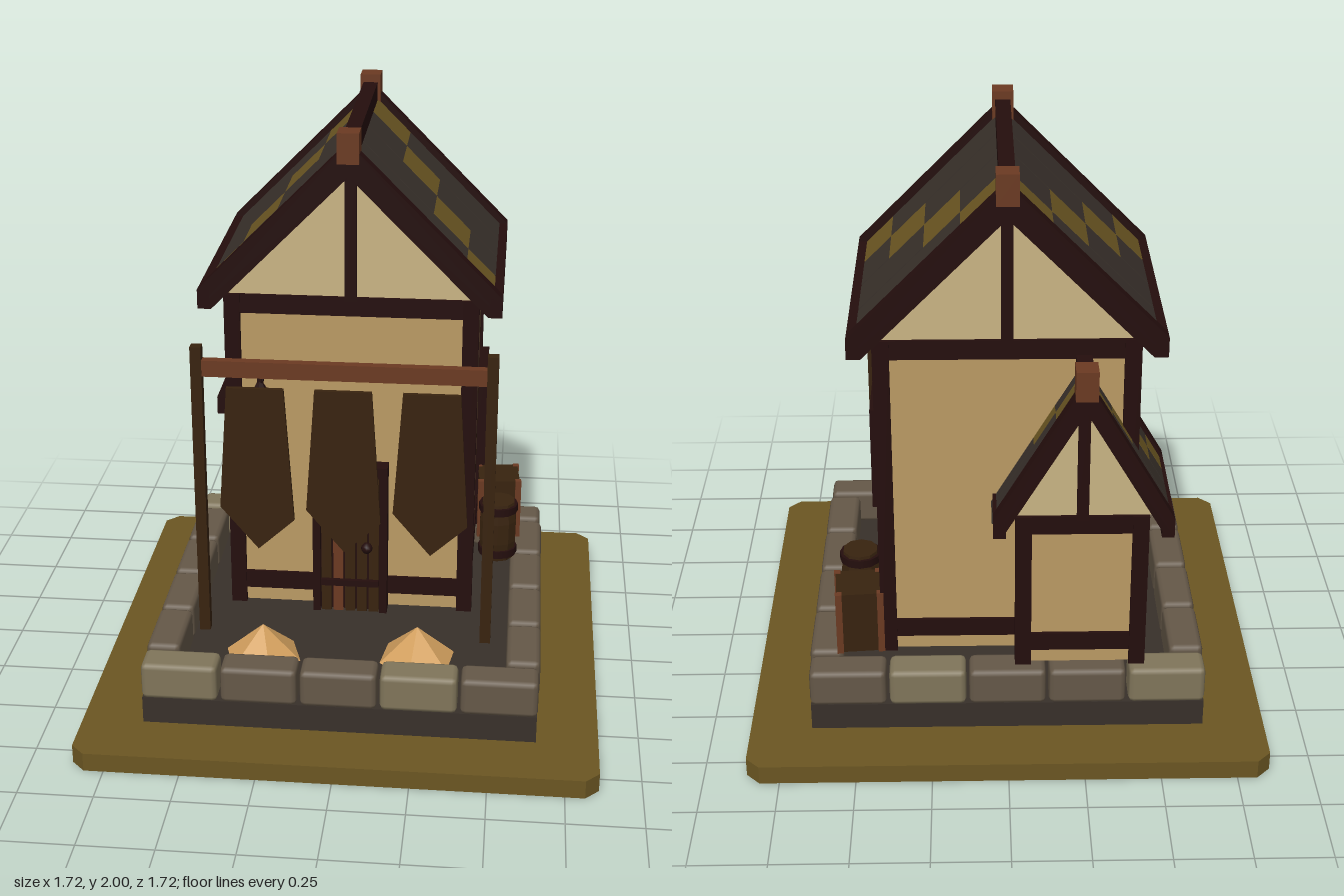
import * as THREE from 'three';
import { RoundedBoxGeometry } from 'three/addons/geometries/RoundedBoxGeometry.js';

const mat = (name, color) => {
  const m = new THREE.MeshStandardMaterial({ color });
  m.name = name;
  return m;
};

export function createModel() {
  const moss = mat('moss', 0x6b5622), slate = mat('slate', 0x38302a);
  const stone = mat('stone', 0x655848), paleStone = mat('pale stone', 0x80755a);
  const plaster = mat('plaster', 0xba9a64), cream = mat('cream plaster', 0xc9b484);
  const timber = mat('dark timber', 0x240e0d), redwood = mat('red wood', 0x6b3a22);
  const bark = mat('brown wood', 0x38230f), glow = mat('amber', 0xd3a05e);

  const model = new THREE.Group();
  const add = (parent, name, geo, material, x = 0, y = 0, z = 0) => {
    const m = new THREE.Mesh(geo, material);
    m.name = name;
    m.position.set(x, y, z);
    parent.add(m);
    return m;
  };
  const box = (parent, name, material, w, h, d, x, y, z) =>
    add(parent, name, new THREE.BoxGeometry(w, h, d), material, x, y, z);
  const group = (name, x = 0, y = 0, z = 0) => {
    const g = new THREE.Group();
    g.name = name;
    g.position.set(x, y, z);
    model.add(g);
    return g;
  };
  // Flat outline in x and y, given depth centred on z = 0
  const slab = (points, depth) => {
    const shape = new THREE.Shape(points.map(p => new THREE.Vector2(...p)));
    return new THREE.ExtrudeGeometry(shape, { depth, bevelEnabled: false }).translate(0, 0, -depth / 2);
  };
  const flat = geo => {
    const g = geo.index ? geo.toNonIndexed() : geo;
    g.computeVertexNormals();
    return g;
  };

  // Ground plate with cut corners, and the foundation
  const a = 0.86, c = 0.815;
  add(model, 'ground', slab([[-c, -a], [c, -a], [a, -c], [a, c], [c, a], [-c, a], [-a, c], [-a, -c]], 0.065)
    .rotateX(-Math.PI / 2), moss, 0, 0.0325, 0);
  box(model, 'foundation', slate, 1.31, 0.095, 1.31, 0, 0.1125, 0);

  // Ring of rim stones
  const rim = group('stoneRim');
  const block = (w, d, x, z, pale) =>
    add(rim, 'rimStone', new RoundedBoxGeometry(w, 0.13, d, 1, 0.018), pale ? paleStone : stone, x, 0.22, z);
  for (const s of [-1, 1]) {
    for (let i = 0; i < 5; i++) block(0.255, 0.115, (i - 2) * 0.265, s * 0.6, i % 3 === 0);
    for (let i = 0; i < 4; i++) block(0.115, 0.255, s * 0.605, (i - 1.5) * 0.265, false);
  }

  // Half-timbered body with gabled roof; used for the house and its annex
  function building(name, cx, cz, o) {
    const g = group(name, cx, 0, cz);
    const { w, d, top, he, ye, yr, rd } = o, base = 0.285, h = top - base;
    box(g, 'walls', plaster, w - 0.03, h - 0.01, d - 0.03, 0, base + h / 2, 0);
    for (const y of [0.3725, top - 0.0325]) box(g, 'beamRing', timber, w - 0.01, 0.065, d - 0.01, 0, y, 0);
    for (const sx of [-1, 1]) {
      for (const sz of [-1, 1])
        box(g, 'cornerPost', timber, 0.053, h, 0.053, sx * (w / 2 - 0.0265), base + h / 2, sz * (d / 2 - 0.0265));
      // Slanted brace across the side wall
      const z0 = 0.32 * d, z1 = 0.07 * d, y0 = 0.4, y1 = top - 0.08;
      const brace = box(g, 'brace', bark, 0.02, Math.hypot(z0 - z1, y1 - y0), 0.028,
        sx * (w / 2 - 0.012), (y0 + y1) / 2, (z0 + z1) / 2);
      brace.rotation.x = -Math.atan2(z0 - z1, y1 - y0);
    }
    // Gable filling
    const k = (yr - ye) / he, apex = yr - 0.09, foot = (apex - top) / k;
    add(g, 'gable', slab([[-foot, top], [foot, top], [0, apex]], d - 0.03), cream);
    // Barge rafters, king posts and ridge caps at both ends
    const low = ye - 0.065, inner = yr - 0.11, xi = (inner - low) / k;
    const chevron = [[0, yr], [-he, ye], [-he, low], [-xi, low], [0, inner], [xi, low], [he, low], [he, ye]];
    for (const s of [-1, 1]) {
      add(g, 'rafters', slab(chevron, 0.045), timber, 0, 0, s * (rd / 2 - 0.0225));
      box(g, 'kingPost', timber, 0.038, inner - top + 0.02, 0.03, 0, (inner + top) / 2, s * (d / 2 - 0.012));
      box(g, 'ridgeCap', redwood, 0.07, 0.1, 0.075, 0, yr - 0.015, s * (rd / 2 - 0.02));
      box(g, 'eaveBeam', timber, 0.04, 0.065, rd, s * (he - 0.02), ye - 0.0325, 0);
    }
    box(g, 'ridgeBeam', timber, 0.05, 0.065, rd - 0.02, 0, yr - 0.025, 0);
    // Roof tiles: one diagonal of mossy tiles on each slope
    const slope = Math.hypot(he, yr - ye), len = slope * 0.94 / 4, dz = (rd - 0.06) / 4;
    for (const s of [-1, 1]) for (let col = 0; col < 4; col++) for (let row = 0; row < 4; row++) {
      const t = 0.03 + (row + 0.5) * 0.235;
      const tile = box(g, 'roofTile', row === col ? moss : slate, len, 0.03, dz - 0.006,
        s * he * (1 - t), ye + (yr - ye) * t - 0.05, (1.5 - col) * dz);
      tile.rotation.z = -s * Math.atan(k);
    }
  }
  building('house', 0, -0.1625, { w: 0.84, d: 0.725, top: 1.43, he: 0.495, ye: 1.465, yr: 1.965, rd: 0.85 });
  building('annex', -0.24, -0.455, { w: 0.43, d: 0.32, top: 0.85, he: 0.287, ye: 0.88, yr: 1.37, rd: 0.46 });

  // Door with plank leaf, straps and knob
  const door = group('door', 0, 0, 0.2);
  for (const s of [-1, 1]) box(door, 'doorJamb', timber, 0.026, 0.555, 0.06, s * 0.115, 0.5625, 0.01);
  box(door, 'doorLintel', timber, 0.256, 0.04, 0.06, 0, 0.82, 0.01);
  box(door, 'doorBacking', timber, 0.21, 0.52, 0.02, 0, 0.545, 0.005);
  for (let i = 0; i < 5; i++)
    box(door, 'doorPlank', i === 1 ? redwood : bark, 0.034, 0.515, 0.03, (i - 2) * 0.041, 0.5425, 0.017);
  for (const y of [0.4, 0.7]) box(door, 'doorStrap', timber, 0.2, 0.022, 0.015, 0, y, 0.04);
  add(door, 'doorKnob', new THREE.SphereGeometry(0.02, 8, 6), timber, 0.06, 0.545, 0.055);

  // Side window with glowing pane and crossed bars
  const win = group('window', 0.42, 0.8975, -0.1975);
  box(win, 'windowPane', glow, 0.04, 0.32, 0.17, 0, 0, 0);
  for (const s of [-1, 1]) {
    box(win, 'windowStile', timber, 0.055, 0.365, 0.03, 0, 0, s * 0.0925);
    box(win, 'windowRail', timber, 0.055, 0.035, 0.215, 0, s * 0.165, 0);
    box(win, 'windowBar', timber, 0.015, 0.335, 0.02, 0.02, 0, 0).rotation.x = s * Math.atan2(0.155, 0.3);
  }

  // Hanging lantern
  const lantern = group('lantern', -0.295, 0, 0.265);
  add(lantern, 'lanternBase', new THREE.CylinderGeometry(0.034, 0.034, 0.03, 6), timber, 0, 0.935, 0);
  add(lantern, 'lanternGlass', new THREE.CylinderGeometry(0.024, 0.024, 0.15, 6), glow, 0, 1.025, 0);
  add(lantern, 'lanternRoof', flat(new THREE.ConeGeometry(0.037, 0.065, 6)), timber, 0, 1.135, 0);
  box(lantern, 'lanternHook', timber, 0.015, 0.05, 0.015, 0, 1.15, 0);
  box(lantern, 'lanternBracket', timber, 0.02, 0.018, 0.075, 0, 1.163, -0.04).rotation.x = 0.45;

  // Banner frame with three pointed cloths
  const frame = group('bannerFrame', 0, 0, 0.425);
  for (const s of [-1, 1]) box(frame, 'framePost', bark, 0.036, 1.03, 0.034, s * 0.474, 0.82, 0);
  box(frame, 'crossbar', redwood, 0.92, 0.055, 0.03, 0, 1.262, 0);
  const cloth = [[-0.095, 1.195], [-0.125, 0.77], [0, 0.62], [0.12, 0.73], [0.09, 1.195]];
  for (const x of [-0.285, 0, 0.285]) add(frame, 'banner', slab(cloth, 0.015), bark, x, 0, 0);

  // Faceted amber heaps in the forecourt
  for (const [x, z, turn] of [[-0.29, 0.345, 0.3], [0.24, 0.315, 0.9]])
    add(model, 'heap', flat(new THREE.ConeGeometry(0.135, 0.12, 6)), glow, x, 0.22, z).rotation.y = turn;

  // Barrel with hoops
  const barrel = group('barrel', 0.5, 0.285, -0.235);
  const profile = [[0, 0], [0.058, 0], [0.068, 0.07], [0.069, 0.15], [0.06, 0.225], [0, 0.225]];
  add(barrel, 'barrelBody', flat(new THREE.LatheGeometry(profile.map(p => new THREE.Vector2(...p)), 10)), bark);
  for (const y of [0.03, 0.2])
    add(barrel, 'hoop', new THREE.CylinderGeometry(0.071, 0.071, 0.028, 12), timber, 0, y, 0);

  // Crate with corner slats
  const crate = group('crate', 0.495, 0.4, -0.455);
  crate.rotation.y = 0.08;
  box(crate, 'crateBody', bark, 0.15, 0.225, 0.15, 0, 0, 0);
  for (const sx of [-1, 1]) for (const sz of [-1, 1])
    box(crate, 'crateSlat', redwood, 0.022, 0.23, 0.022, sx * 0.069, 0, sz * 0.069);

  return model;
}
